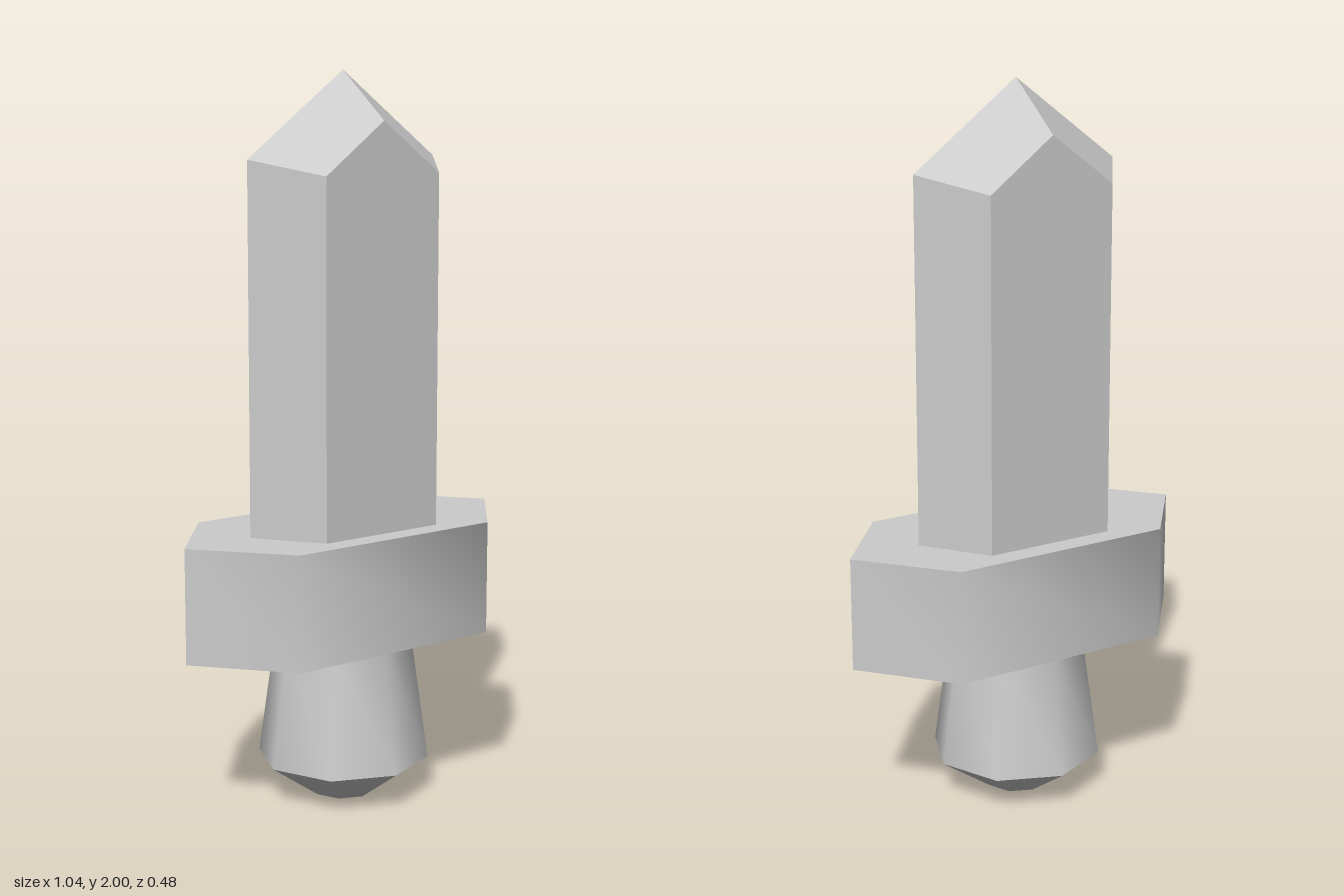
import * as THREE from 'three';
import { toCreasedNormals } from 'three/addons/utils/BufferGeometryUtils.js';
import { ConvexGeometry } from 'three/addons/geometries/ConvexGeometry.js';

const material = new THREE.MeshStandardMaterial({ color: 0xcccccc });
const CREASE = Math.PI / 3;

function part(name, geometry) {
  const mesh = new THREE.Mesh(geometry, material);
  mesh.name = name;
  return mesh;
}

// Stretched hexagon with its points on the x axis
function hexagon(tipX, sideX, depth) {
  return [[tipX, 0], [sideX, depth], [-sideX, depth], [-tipX, 0], [-sideX, -depth], [sideX, -depth]]
    .map(([x, z]) => new THREE.Vector2(x, z));
}

// Six-sided blade cut by four sloping planes that meet at the tip
function bladeGeometry() {
  const base = 0.75, tip = 2, slope = 0.742, depth = 0.177;
  const topAt = (x, z) => tip - slope * (Math.abs(x) + Math.abs(z));
  const points = [new THREE.Vector3(0, tip, 0)];
  for (const p of hexagon(0.31, 0.187, depth)) {
    points.push(new THREE.Vector3(p.x, base, p.y), new THREE.Vector3(p.x, topAt(p.x, p.y), p.y));
  }
  for (const z of [-depth, depth]) points.push(new THREE.Vector3(0, topAt(0, z), z));
  return new ConvexGeometry(points);
}

// Thick hexagonal crossguard, soft at the blunt corners
function guardGeometry() {
  const shape = new THREE.Shape(hexagon(0.518, 0.32, 0.24));
  const geometry = new THREE.ExtrudeGeometry(shape, { depth: 0.315, bevelEnabled: false });
  geometry.rotateX(-Math.PI / 2).translate(0, 0.455, 0);
  return toCreasedNormals(geometry, CREASE);
}

// Eight-sided grip flaring towards a tapered pommel
function gripGeometry() {
  const profile = [[0, 0], [0.09, 0], [0.24, 0.105], [0.19, 0.46]].map(([r, y]) => new THREE.Vector2(r, y));
  return toCreasedNormals(new THREE.LatheGeometry(profile, 8), CREASE);
}

export function createModel() {
  const model = new THREE.Group();
  model.name = 'sword';
  model.add(
    part('blade', bladeGeometry()),
    part('guard', guardGeometry()),
    part('grip', gripGeometry()),
  );
  return model;
}
